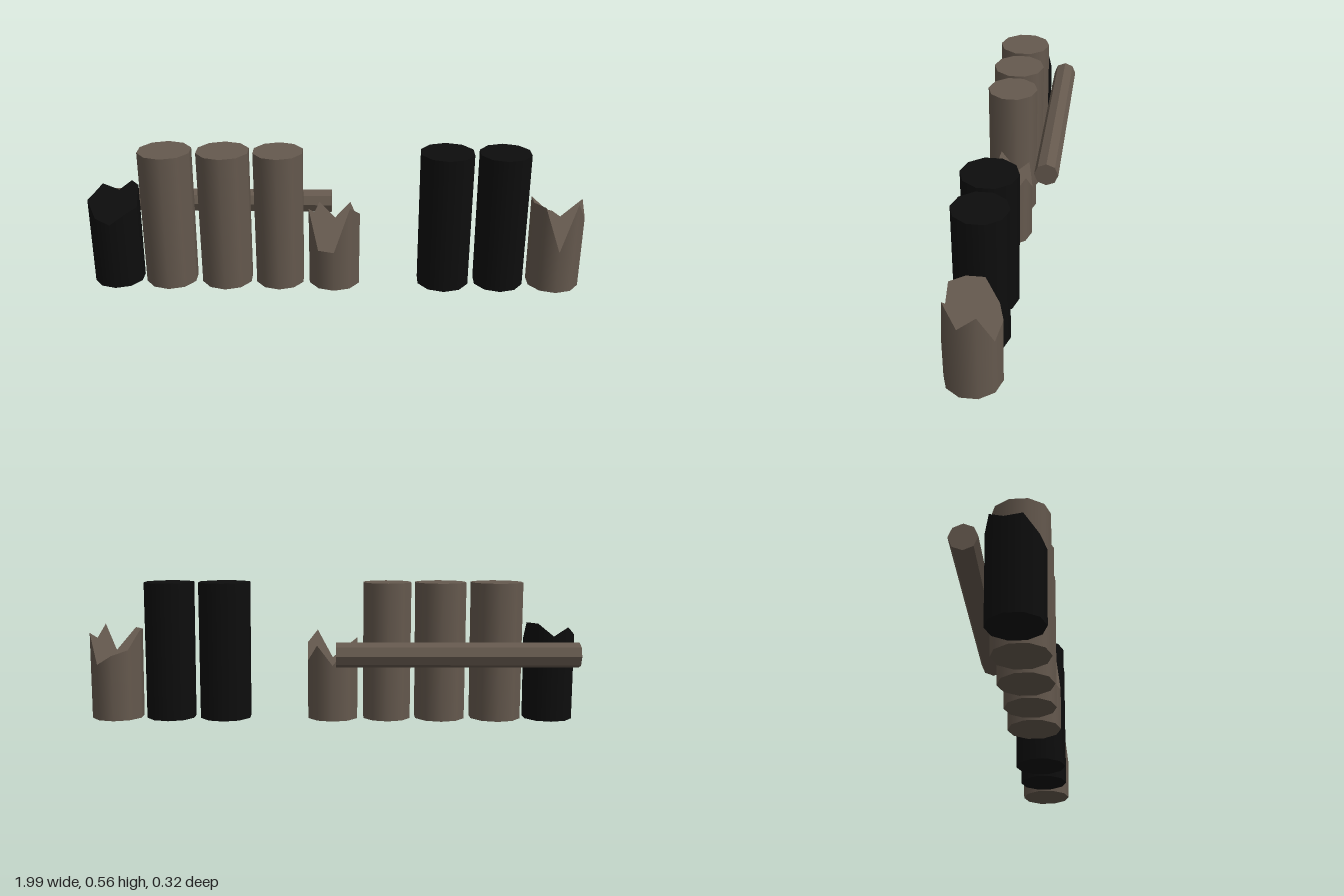
import * as THREE from 'three';

const SIDES = 10;
const HEIGHT = 0.562;
const LOG_Z = 0.05;

// Each log: centre x, radius, colour, and for broken logs the rim heights,
// starting at the front (+z) and going round by way of +x.
const LOGS = [
  { x: -0.895, r: 0.103, dark: true, core: 0.3,
    rim: [0.28, 0.32, 0.33, 0.4, 0.4, 0.35, 0.385, 0.35, 0.36, 0.3] },
  { x: -0.677, r: 0.108 },
  { x: -0.447, r: 0.107 },
  { x: -0.228, r: 0.102 },
  { x: -0.005, r: 0.108, core: 0.25,
    rim: [0.17, 0.355, 0.31, 0.24, 0.31, 0.23, 0.31, 0.24, 0.33, 0.17] },
  { x: 0.44, r: 0.109, dark: true },
  { x: 0.667, r: 0.104, dark: true },
  { x: 0.89, r: 0.108, core: 0.28,
    rim: [0.18, 0.38, 0.3, 0.355, 0.23, 0.27, 0.29, 0.365, 0.365, 0.365] },
];

// Upright log standing on y = 0; a rim list pulls the top down into splinters.
function logGeometry({ r, rim, core }) {
  const geo = new THREE.CylinderGeometry(r, r * 0.985, HEIGHT, SIDES);
  geo.translate(0, HEIGHT / 2, 0);
  if (rim) {
    const p = geo.attributes.position;
    for (let i = 0; i < p.count; i++) {
      if (p.getY(i) < HEIGHT / 2) continue;
      const x = p.getX(i), z = p.getZ(i);
      if (Math.hypot(x, z) < r / 2) {
        p.setY(i, core);
      } else {
        const step = Math.round(Math.atan2(x, z) / (2 * Math.PI / SIDES));
        p.setY(i, rim[(step + SIDES) % SIDES]);
      }
    }
  }
  return geo;
}

export function createModel() {
  const model = new THREE.Group();
  model.name = 'brokenPalisade';

  const wood = new THREE.MeshStandardMaterial({ color: 0x65594e });
  wood.name = 'weatheredWood';
  const charred = new THREE.MeshStandardMaterial({ color: 0x0d0d0d });
  charred.name = 'charredWood';

  // Row of upright logs
  LOGS.forEach((log, i) => {
    const mesh = new THREE.Mesh(logGeometry(log), log.dark ? charred : wood);
    mesh.name = (log.rim ? 'brokenLog' : 'log') + (i + 1);
    mesh.position.set(log.x, 0, LOG_Z);
    model.add(mesh);
  });

  // Octagonal rail behind the left-hand run of logs
  const railGeo = new THREE.CylinderGeometry(0.05, 0.05, 0.965, 8).toNonIndexed();
  railGeo.computeVertexNormals();
  railGeo.rotateZ(Math.PI / 2);
  const rail = new THREE.Mesh(railGeo, wood);
  rail.name = 'backRail';
  rail.position.set(-0.502, 0.283, -0.112);
  model.add(rail);

  return model;
}
